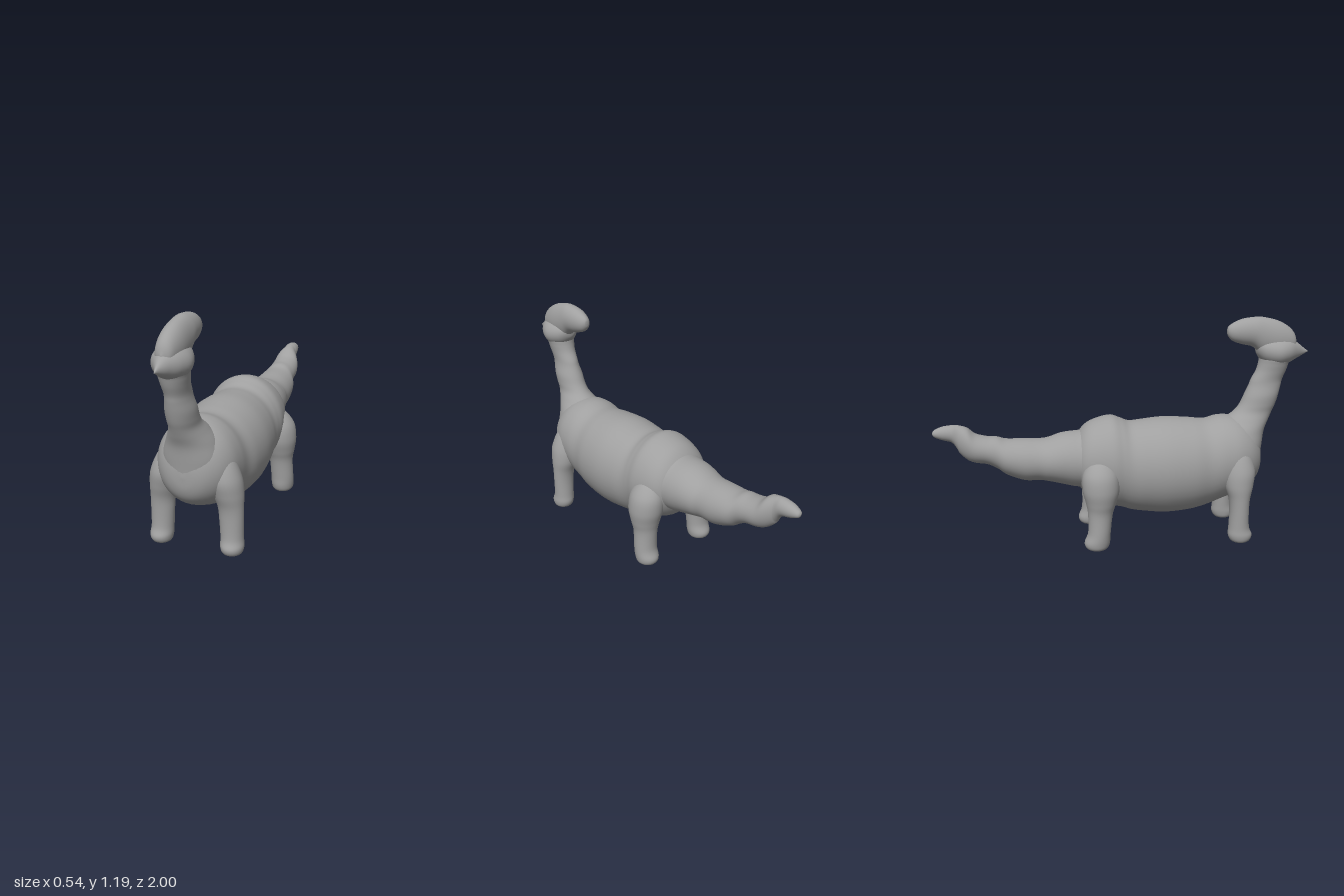
import * as THREE from 'three';
import { mergeVertices } from 'three/addons/utils/BufferGeometryUtils.js';

const skin = new THREE.MeshStandardMaterial({ color: 0xa0a0a0 });
skin.name = 'grey skin';

// Smooth loft of elliptical sections. Row: [t, low, high, halfWidth, centreX].
// axis 'z': upright sections, t = z rising, low/high = y.
// axis 'y': level sections, t = y falling, low/high = z.
function loft(name, axis, rows, sides = 40, steps = 6) {
  const outline = new THREE.CatmullRomCurve3(
    rows.map(r => new THREE.Vector3(r[0], r[1], r[2])), false, 'catmullrom', 0.5);
  const width = new THREE.CatmullRomCurve3(
    rows.map(r => new THREE.Vector3(r[3], r[4] || 0, 0)), false, 'catmullrom', 0.5);
  const n = (rows.length - 1) * steps;
  const pos = [], index = [];
  for (let i = 0; i <= n; i++) {
    const o = outline.getPoint(i / n), w = width.getPoint(i / n);
    const mid = (o.y + o.z) / 2, half = Math.max(0, (o.z - o.y) / 2), hw = Math.max(0, w.x);
    for (let j = 0; j < sides; j++) {
      const a = j / sides * Math.PI * 2;
      const x = w.y + hw * Math.cos(a), v = mid + half * Math.sin(a);
      if (axis === 'z') pos.push(x, v, o.x); else pos.push(x, o.x, v);
      if (i < n) {
        const k = (j + 1) % sides, p = i * sides, q = p + sides;
        index.push(p + j, p + k, q + k, p + j, q + k, q + j);
      }
    }
  }
  let g = new THREE.BufferGeometry();
  g.setAttribute('position', new THREE.Float32BufferAttribute(pos, 3));
  g.setIndex(index);
  g = mergeVertices(g, 1e-5);
  g.computeVertexNormals();
  const m = new THREE.Mesh(g, skin);
  m.name = name;
  return m;
}

export function createModel() {
  const model = new THREE.Group();
  model.name = 'longNeckedDinosaur';

  // Segmented tail
  model.add(loft('tail', 'z', [
    [-1, 0.613, 0.613, 0], [-0.99, 0.595, 0.63, 0.018], [-0.95, 0.578, 0.648, 0.033],
    [-0.9, 0.562, 0.655, 0.04], [-0.873, 0.525, 0.654, 0.042], [-0.86, 0.5, 0.652, 0.047],
    [-0.82, 0.465, 0.638, 0.068], [-0.78, 0.45, 0.605, 0.078], [-0.72, 0.44, 0.588, 0.081],
    [-0.67, 0.415, 0.584, 0.086], [-0.62, 0.38, 0.57, 0.105], [-0.53, 0.346, 0.568, 0.115],
    [-0.45, 0.343, 0.565, 0.118], [-0.4, 0.335, 0.57, 0.132], [-0.33, 0.318, 0.592, 0.146],
    [-0.25, 0.3, 0.6, 0.155], [-0.15, 0.3, 0.6, 0.155], [-0.12, 0.45, 0.45, 0],
  ]));

  // Barrel body with rounded rump and chest
  model.add(loft('body', 'z', [
    [-0.27, 0.44, 0.44, 0], [-0.262, 0.35, 0.54, 0.1], [-0.235, 0.29, 0.6, 0.16],
    [-0.18, 0.235, 0.65, 0.195], [-0.08, 0.19, 0.68, 0.215], [-0.02, 0.177, 0.664, 0.212],
    [0.03, 0.16, 0.645, 0.213], [0.1, 0.148, 0.65, 0.225], [0.22, 0.136, 0.66, 0.236],
    [0.35, 0.145, 0.652, 0.228], [0.44, 0.165, 0.644, 0.21], [0.52, 0.195, 0.662, 0.207],
    [0.6, 0.225, 0.655, 0.197], [0.67, 0.26, 0.62, 0.165], [0.72, 0.305, 0.565, 0.115],
    [0.745, 0.36, 0.5, 0.06], [0.752, 0.43, 0.43, 0],
  ]));

  // Ringed neck flaring into the chest
  model.add(loft('neck', 'y', [
    [1.04, 0.74, 0.86, 0.05], [0.98, 0.732, 0.9, 0.074], [0.94, 0.727, 0.89, 0.07],
    [0.9, 0.715, 0.878, 0.063], [0.855, 0.69, 0.86, 0.058], [0.82, 0.677, 0.853, 0.06],
    [0.77, 0.655, 0.842, 0.069], [0.72, 0.632, 0.827, 0.07], [0.68, 0.6, 0.81, 0.072],
    [0.64, 0.55, 0.793, 0.09], [0.58, 0.5, 0.768, 0.122], [0.5, 0.5, 0.756, 0.145],
    [0.4, 0.5, 0.745, 0.14],
  ]));

  // Head with pointed beak
  model.add(loft('head', 'z', [
    [0.71, 1.02, 1.02, 0], [0.718, 0.985, 1.06, 0.04], [0.755, 0.945, 1.075, 0.073],
    [0.82, 0.925, 1.08, 0.092], [0.88, 0.938, 1.075, 0.075], [0.93, 0.962, 1.052, 0.04],
    [0.965, 0.98, 1.025, 0.016], [1, 0.999, 0.999, 0],
  ]));

  // Crest sweeping back over the neck
  model.add(loft('crest', 'z', [
    [0.55, 1.115, 1.115, 0], [0.555, 1.09, 1.137, 0.018], [0.58, 1.063, 1.157, 0.036],
    [0.63, 1.045, 1.178, 0.051], [0.69, 1.03, 1.187, 0.058], [0.74, 0.99, 1.187, 0.06],
    [0.82, 0.97, 1.168, 0.06], [0.88, 0.98, 1.137, 0.05], [0.915, 1.0, 1.1, 0.034],
    [0.932, 1.05, 1.05, 0],
  ]));

  // Two pairs of legs
  for (const [side, s] of [['left', 1], ['right', -1]]) {
    const leg = (name, rows) => model.add(
      loft(side + name, 'y', rows.map(([y, lo, hi, w, x]) => [y, lo, hi, w, s * x]), 28));
    leg('FrontLeg', [
      [0.52, 0.59, 0.59, 0, 0.13], [0.49, 0.54, 0.65, 0.05, 0.135], [0.4, 0.515, 0.685, 0.083, 0.145],
      [0.32, 0.52, 0.675, 0.077, 0.163], [0.25, 0.542, 0.657, 0.064, 0.176],
      [0.18, 0.548, 0.652, 0.06, 0.18], [0.09, 0.545, 0.655, 0.057, 0.183],
      [0.045, 0.542, 0.671, 0.058, 0.186], [0.015, 0.555, 0.66, 0.05, 0.186],
      [0.003, 0.58, 0.635, 0.028, 0.186], [0, 0.607, 0.607, 0, 0.186],
    ]);
    leg('HindLeg', [
      [0.5, -0.14, -0.14, 0, 0.145], [0.475, -0.195, -0.085, 0.05, 0.15],
      [0.41, -0.235, -0.05, 0.085, 0.168], [0.33, -0.238, -0.045, 0.091, 0.177],
      [0.26, -0.222, -0.063, 0.078, 0.182], [0.2, -0.212, -0.082, 0.064, 0.186],
      [0.1, -0.213, -0.094, 0.062, 0.192], [0.045, -0.232, -0.098, 0.061, 0.192],
      [0.015, -0.222, -0.11, 0.052, 0.192], [0.003, -0.195, -0.135, 0.028, 0.192],
      [0, -0.165, -0.165, 0, 0.192],
    ]);
  }
  return model;
}
